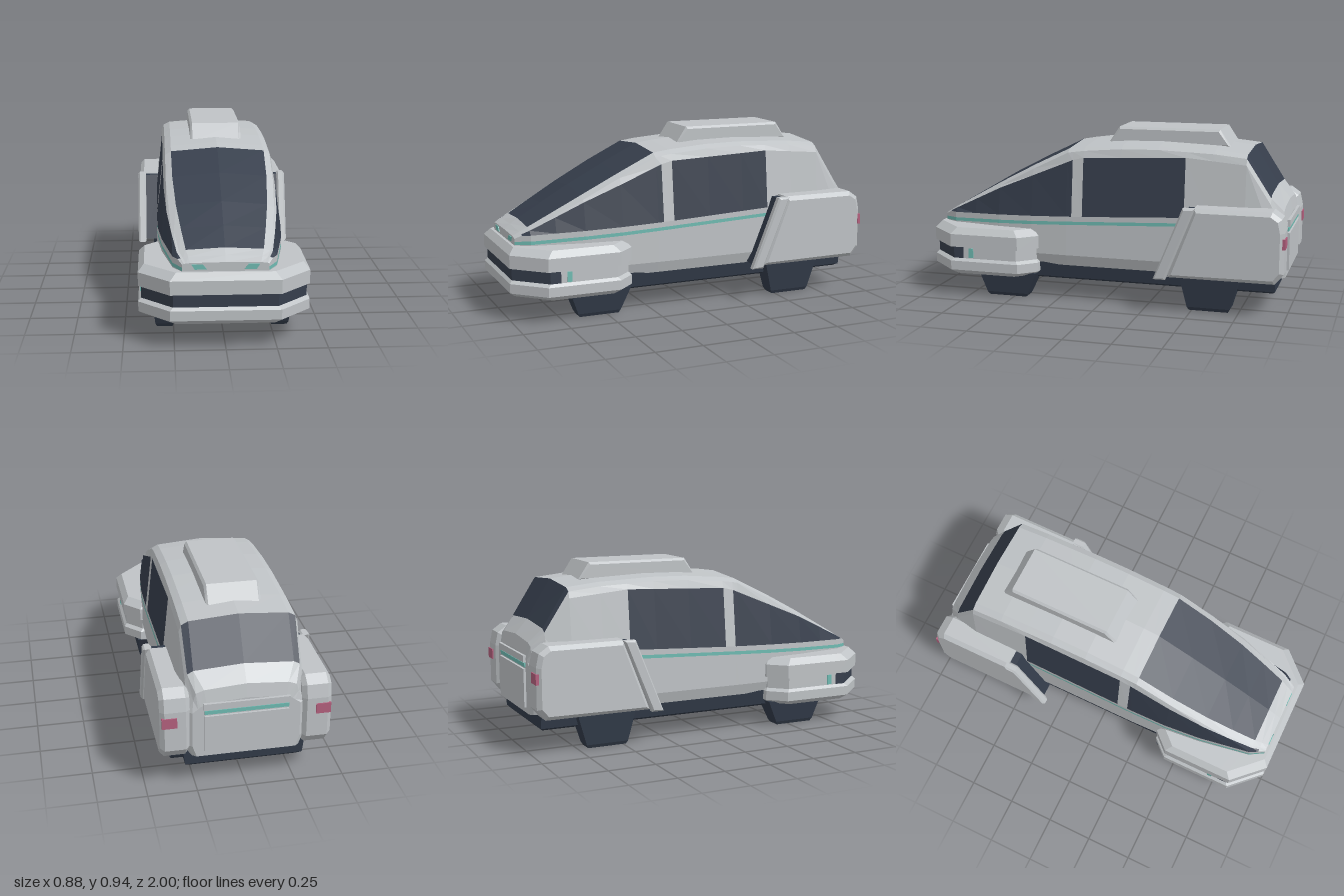
import * as THREE from 'three';

const mat = (name, color) => Object.assign(new THREE.MeshStandardMaterial({ color }), { name });

// Piecewise-linear value from [z, value] keys in ascending z
function key(z, keys) {
  for (let i = 1; i < keys.length; i++) {
    const [a, va] = keys[i - 1], [b, vb] = keys[i];
    if (z <= b) return va + (vb - va) * Math.max(0, (z - a) / (b - a));
  }
  return keys[keys.length - 1][1];
}

// Flat-faced skin over closed rings with end caps; pick(i, j) gives each quad's material index
function loft(name, rings, materials, pick = () => 0) {
  const buckets = materials.map(() => []);
  const n = rings[0].length, last = rings[rings.length - 1];
  for (let i = 0; i < rings.length - 1; i++) {
    for (let j = 0; j < n; j++) {
      const k = (j + 1) % n;
      const a = rings[i][j], b = rings[i][k], c = rings[i + 1][k], d = rings[i + 1][j];
      buckets[pick(i, j)].push(...a, ...b, ...c, ...a, ...c, ...d);
    }
  }
  for (let j = 1; j < n - 1; j++) {
    buckets[0].push(...rings[0][0], ...rings[0][j + 1], ...rings[0][j]);
    buckets[0].push(...last[0], ...last[j], ...last[j + 1]);
  }
  const geo = new THREE.BufferGeometry();
  geo.setAttribute('position', new THREE.Float32BufferAttribute(buckets.flat(), 3));
  let start = 0;
  buckets.forEach((b, m) => { geo.addGroup(start, b.length / 3, m); start += b.length / 3; });
  geo.computeVertexNormals();
  const mesh = new THREE.Mesh(geo, materials);
  mesh.name = name;
  return mesh;
}

// Rectangular block whose footprint changes with height: levels of [y, x0, x1, z0, z1]
const block = (name, levels, material) => loft(name, levels.map(([y, x0, x1, z0, z1]) =>
  [[x1, y, z1], [x1, y, z0], [x0, y, z0], [x0, y, z1]]), [material]);

// Side-profile slab of [z, y] points, spanning x0..x1 with bevelled rims
function slab(name, profile, x0, x1, bevel, material) {
  const shape = new THREE.Shape(profile.map(([z, y]) => new THREE.Vector2(z, y)));
  const depth = x1 - x0 - 2 * bevel;
  const geo = new THREE.ExtrudeGeometry(shape, {
    depth, bevelEnabled: bevel > 0, bevelThickness: bevel, bevelSize: bevel, bevelOffset: -bevel, bevelSegments: 1,
  });
  geo.translate(0, 0, -depth / 2).rotateY(-Math.PI / 2).translate((x0 + x1) / 2, 0, 0);
  const mesh = new THREE.Mesh(geo, material);
  mesh.name = name;
  return mesh;
}

function box(name, w, h, d, x, y, z, material) {
  const mesh = new THREE.Mesh(new THREE.BoxGeometry(w, h, d), material);
  mesh.position.set(x, y, z);
  mesh.name = name;
  return mesh;
}

// Body curves along z
const TOP = [[-.98, .5], [-.965, .57], [-.9, .645], [-.77, .85], [-.6, .868], [-.3, .88], [0, .875], [.2, .848],
  [.4, .75], [.6, .645], [.88, .482], [.955, .43]];
const BELT_X = [[-.98, .27], [-.965, .29], [-.9, .315], [-.77, .33], [.2, .33], [.4, .325], [.6, .305], [.88, .255], [.955, .21]];
const EDGE_X = [[-.98, .23], [-.965, .25], [-.9, .28], [-.77, .285], [.2, .282], [.48, .28], [.66, .262], [.88, .222], [.955, .19]];
const SHIELD_X = [[-.98, .2], [-.9, .25], [.2, .25], [.48, .245], [.66, .225], [.88, .19], [.955, .17]];
const DROP = [[-.98, .03], [-.77, .037], [.2, .04], [.6, .038], [.88, .02], [.955, .005]];
const WINDOW_TOP = [[-.98, .46], [-.965, .5], [-.9, .58], [-.77, .78], [-.45, .808], [.11, .785], [.17, .77], [.6, .595], [.92, .442], [.955, .424]];
const WINDOW_BASE = [[-.98, .44], [-.45, .495], [.11, .468], [.92, .438], [.955, .42]];
const STRIPE = [[-.98, .4], [-.45, .447], [.955, .387]];

function bodyRing(z) {
  const top = key(z, TOP), w = key(z, BELT_X), e = key(z, EDGE_X), drop = key(z, DROP), s = key(z, STRIPE);
  const half = [
    [w - .02, .19], [w, .25], [w, s], [w, s + .018], [w, key(z, WINDOW_BASE)],
    [e + .012, key(z, WINDOW_TOP)], [e, top - drop], [key(z, SHIELD_X), top - drop * .5],
  ];
  const left = half.map(([x, y]) => [x, y, z]);
  const right = half.map(([x, y]) => [-x, y, z]).reverse();
  return [[0, .19, z], ...left, [0, top, z], ...right];
}

export function createModel() {
  const group = new THREE.Group();
  group.name = 'vehicle';
  const paint = mat('silver paint', 0xbfc3c6);
  const glass = mat('dark glass', 0x363e4c);
  const dark = mat('dark undercarriage', 0x313a48);
  const teal = mat('teal light', 0x6fbbb2);
  const red = mat('rose tail light', 0xb4607e);

  // Cabin body with windows and side stripe
  const zs = [-.98, -.965, -.9, -.77, -.6, -.45, -.3, -.1, .11, .17, .2, .4, .6, .75, .88, .92, .955];
  group.add(loft('body', zs.map(bodyRing), [paint, glass, teal], (i, j) => {
    const row = j < 9 ? j : 17 - j, z = (zs[i] + zs[i + 1]) / 2;
    if (row === 8 && z > .2 && z < .88) return 1;
    if (row === 5 && ((z > .17 && z < .92) || (z > -.45 && z < .11))) return 1;
    if (row >= 7 && z > -.9 && z < -.77) return 1;
    if (row === 3 && z > -.45) return 2;
    return 0;
  }));

  // Roof pod
  group.add(slab('roofPod', [[.015, .85], [-.045, .94], [-.6, .94], [-.66, .85]], -.14, .14, .012, paint));

  // Wraparound front bumper with dark recessed band
  const corner = [[.27, 1], [.425, .84], [.425, .77], [.425, .45], [.34, .36]];
  const outline = [...corner, ...corner.map(([x, z]) => [-x, z]).reverse()];
  const levels = [[.125, .03], [.15, 0], [.2, 0], [.215, .014], [.277, .014], [.28, 0], [.35, 0], [.385, .03]];
  const bumperRings = levels.map(([y, inset]) => outline.map(([x, z]) =>
    [x - Math.sign(x) * inset, y, z === .77 ? z : z - Math.sign(z - .68) * inset]));
  group.add(loft('frontBumper', bumperRings, [paint, glass],
    (i, j) => (i === 3 && [0, 1, 7, 8, 9].includes(j) ? 1 : 0)));

  // Undercarriage
  group.add(block('chassis', [[.105, -.27, .27, -.92, .41], [.12, -.3, .3, -.935, .41], [.2, -.31, .31, -.935, .41]], dark));

  // Rear hatch panels and light bar
  group.add(box('hatchLower', .42, .2, .016, 0, .32, -.984, paint));
  group.add(box('hatchUpper', .43, .035, .02, 0, .473, -.984, paint));
  group.add(box('hatchLightBar', .42, .02, .008, 0, .439, -.983, teal));

  for (const s of [1, -1]) {
    const span = (a, b) => (s > 0 ? [a, b] : [-b, -a]);

    // Wheel pods
    const pod = (name, z0, z1, top) => {
      const low = span(.255, .335), mid = span(.248, .343), high = span(.233, .356);
      group.add(block(name, [[0, ...low, z0 + .065, z1 - .055], [.018, ...mid, z0 + .055, z1 - .045],
        [top, ...high, z0, z1]], dark));
    };
    pod('frontWheelPod', .37, .705, .14);
    pod('rearWheelPod', -.76, -.43, .2);

    // Rear fender, intake and slanted blade
    group.add(slab('rearFender', [[-.38, .19], [-.52, .565], [-.925, .565], [-.975, .53], [-.99, .46], [-.99, .245],
      [-.945, .19]], ...span(.28, .43), .022, paint));
    group.add(slab('sideIntake', [[-.335, .195], [-.48, .555], [-.6, .555], [-.45, .195]], ...span(.3, .397), 0, dark));
    group.add(slab('intakeBlade', [[-.31, .18], [-.375, .18], [-.53, .565], [-.465, .565]], ...span(.395, .442), .01, paint));

    // Lamps
    group.add(box('tailLight', .075, .055, .016, s * .384, .403, -.988, red));
    group.add(box('sideLight', .009, .053, .026, s * .413, .246, .725, teal));
    const lamp = new THREE.Shape([[.11, .42], [.165, .42], [.15, .395], [.09, .395]]
      .map(([x, y]) => new THREE.Vector2(s * x, y)));
    const headlight = new THREE.Mesh(new THREE.ExtrudeGeometry(lamp, { depth: .008, bevelEnabled: false }), teal);
    headlight.position.z = .951;
    headlight.name = 'headlight';
    group.add(headlight);
  }
  return group;
}
